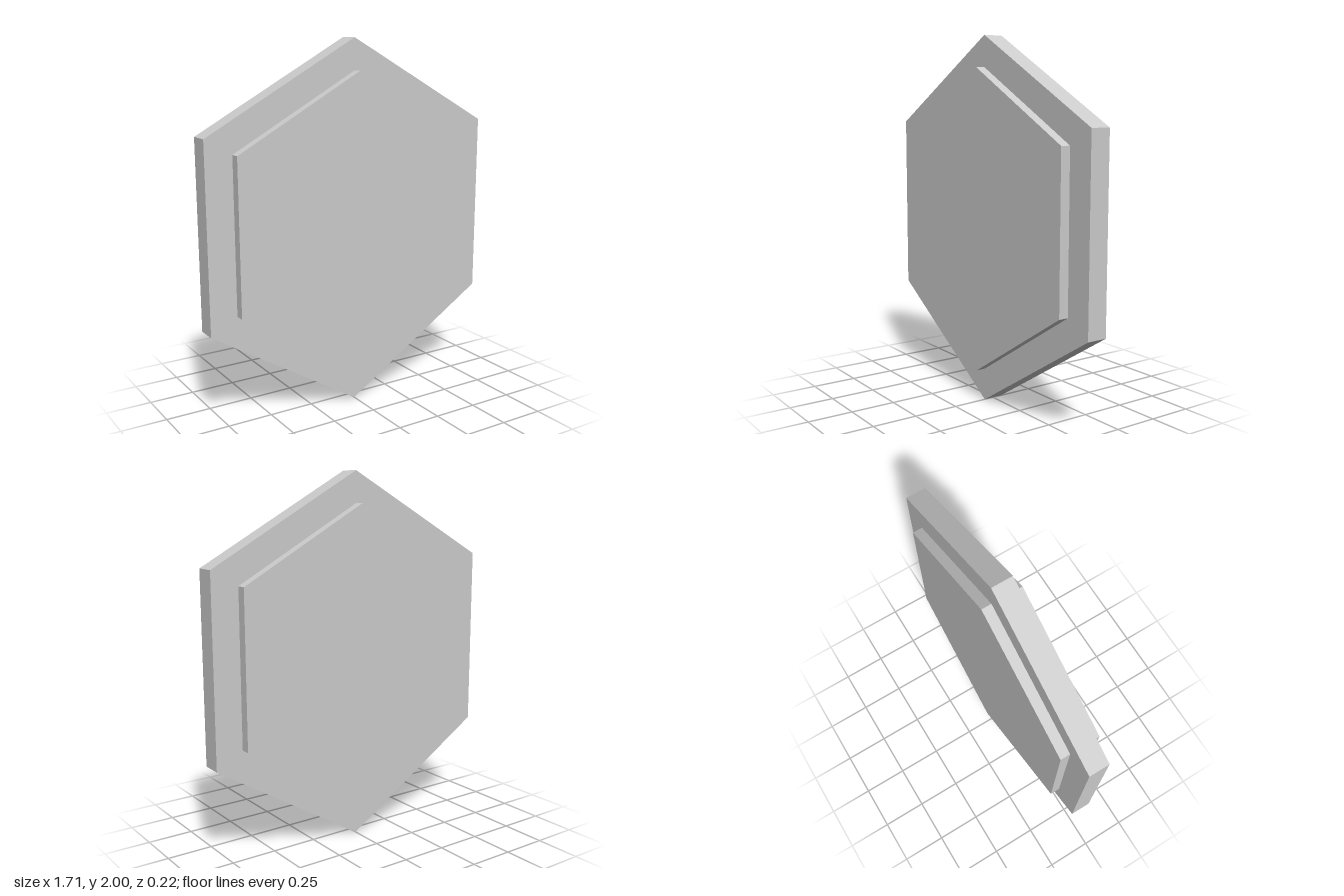
import * as THREE from 'three';

const material = new THREE.MeshStandardMaterial({ color: 0xcccccc, flatShading: true });

// Upright hexagonal slab, pointed at top and bottom, centred on z = 0
function hexSlab(name, { halfWidth, bottom, lower, upper, top, depth }) {
  const shape = new THREE.Shape([
    [0, bottom], [halfWidth, lower], [halfWidth, upper],
    [0, top], [-halfWidth, upper], [-halfWidth, lower],
  ].map(([x, y]) => new THREE.Vector2(x, y)));
  const geometry = new THREE.ExtrudeGeometry(shape, { depth, bevelEnabled: false });
  geometry.translate(0, 0, -depth / 2);
  const mesh = new THREE.Mesh(geometry, material);
  mesh.name = name;
  return mesh;
}

export function createModel() {
  const model = new THREE.Group();
  model.name = 'hexagonalPlaque';

  // Wide thin rim
  model.add(hexSlab('outerRim', {
    halfWidth: 0.855, bottom: 0, lower: 0.532, upper: 1.532, top: 2, depth: 0.112,
  }));

  // Thicker core, standing proud of the rim on both faces
  model.add(hexSlab('raisedPanel', {
    halfWidth: 0.707, bottom: 0.178, lower: 0.617, upper: 1.446, top: 1.832, depth: 0.22,
  }));

  return model;
}
